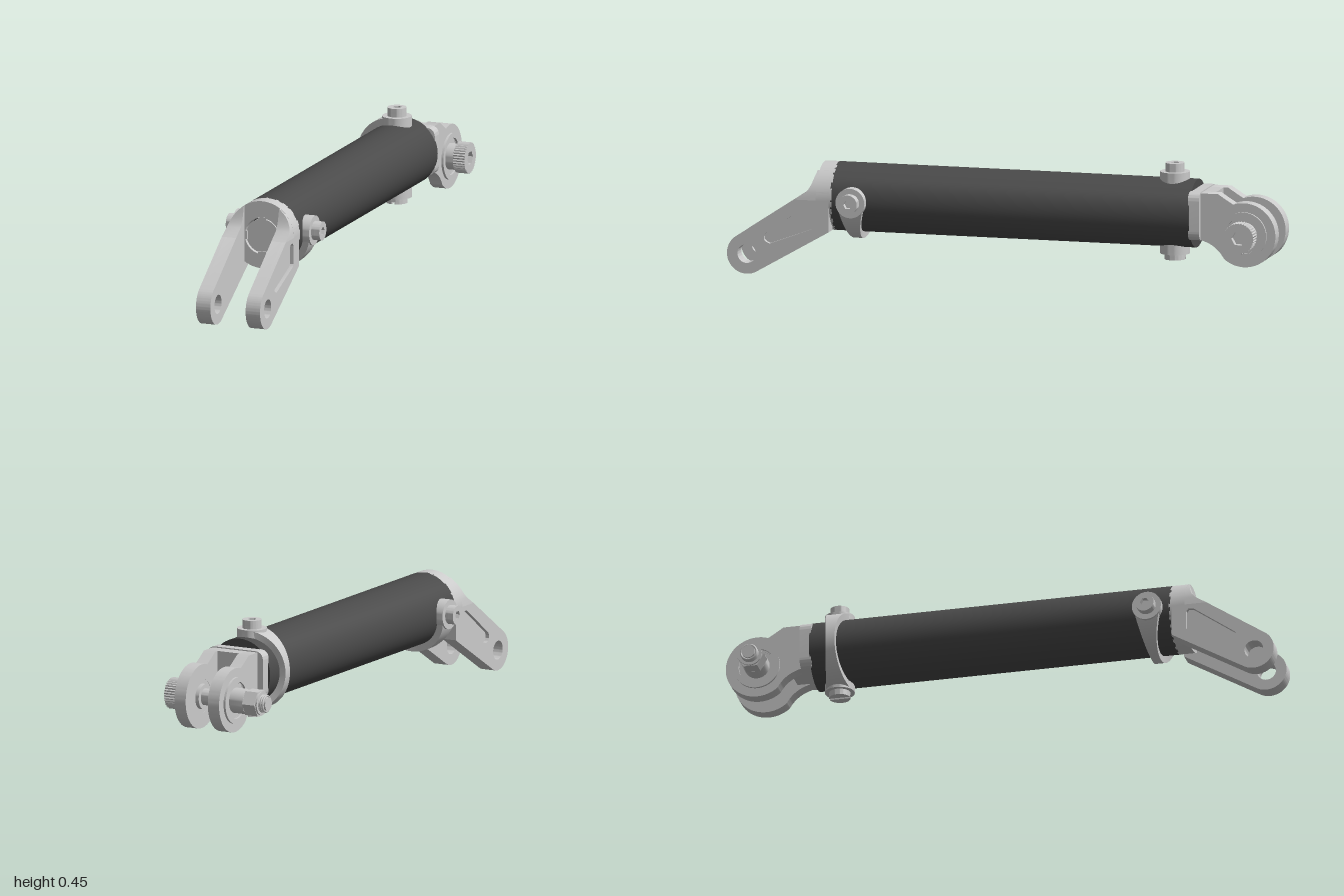
import * as THREE from 'three';
import { mergeGeometries, toCreasedNormals } from 'three/addons/utils/BufferGeometryUtils.js';

const CX = 0.0215, CY = 0.277, R = 0.122; // tube axis and radius

export function createModel() {
  const metal = new THREE.MeshStandardMaterial({ color: 0xcacaca });
  metal.name = 'light metal';
  const dark = new THREE.MeshStandardMaterial({ color: 0x4a4a4a });
  dark.name = 'dark tube';
  const model = new THREE.Group();

  const add = (parent, name, geo, mat = metal) => {
    const m = new THREE.Mesh(geo, mat);
    m.name = name;
    parent.add(m);
    return m;
  };
  const crease = (g) => toCreasedNormals(g, 0.6);

  // Extrude a shape along z between two depths
  const extrudeZ = (shape, z0, z1) =>
    crease(new THREE.ExtrudeGeometry(shape, { depth: z1 - z0, bevelEnabled: false, curveSegments: 32 }).translate(0, 0, z0));
  // Extrude a (z, y) side outline between two x positions
  const plateX = (shape, x0, x1) => extrudeZ(shape, 0, x1 - x0).rotateY(-Math.PI / 2).translate(x1, 0, 0);
  const cylX = (r, x0, x1, sides = 40) => {
    const g = new THREE.CylinderGeometry(r, r, x1 - x0, sides);
    return crease(g.rotateZ(Math.PI / 2).translate((x0 + x1) / 2, 0, 0));
  };
  const ngon = (r, n, inner = r) => new THREE.Shape(Array.from({ length: n }, (_, i) => {
    const a = (i / n) * Math.PI * 2, q = i % 2 ? inner : r;
    return new THREE.Vector2(Math.cos(a) * q, Math.sin(a) * q);
  }));
  const disc = (r) => new THREE.Shape().absarc(0, 0, r, 0, Math.PI * 2);

  // Solid through four-cornered cross-sections
  const loft = (rings) => {
    const p = [], tri = (...v) => v.forEach((q) => p.push(...q));
    for (let i = 0; i + 1 < rings.length; i++) for (let j = 0; j < 4; j++) {
      const k = (j + 1) % 4, A = rings[i], B = rings[i + 1];
      tri(A[j], A[k], B[k], A[j], B[k], B[j]);
    }
    const f = rings[0], l = rings[rings.length - 1];
    tri(f[2], f[1], f[0], f[3], f[2], f[0], l[0], l[1], l[2], l[0], l[2], l[3]);
    const g = new THREE.BufferGeometry();
    g.setAttribute('position', new THREE.Float32BufferAttribute(p, 3));
    return crease(g);
  };

  // Screw head pointing along +z with a hexagon socket
  const socketHead = (outline, h, socket) => {
    const ring = outline.clone();
    ring.holes.push(ngon(socket, 6));
    return mergeGeometries([extrudeZ(outline, 0, h * 0.5), extrudeZ(ring, h * 0.5, h)]);
  };
  // Screw head pointing along +z with a straight slot
  const slottedHead = (r, h) => {
    const half = (t) => new THREE.Shape().absarc(0, 0, r, t + 0.15, t + Math.PI - 0.15);
    return mergeGeometries([extrudeZ(disc(r), 0, h * 0.7), extrudeZ(half(0), h * 0.7, h), extrudeZ(half(Math.PI), h * 0.7, h)]);
  };

  // Tube
  const tube = add(model, 'tube', crease(new THREE.CylinderGeometry(R, R, 1.315, 64).rotateX(Math.PI / 2)), dark);
  tube.position.set(CX, CY, -0.0325);

  // Front fork: end cap, plug and threads
  const front = new THREE.Group();
  front.name = 'frontFork';
  front.position.x = CX;
  model.add(front);
  const capShape = new THREE.Shape().absarc(0, CY, R, 0, Math.PI * 2);
  const bore = new THREE.Path().absarc(0, 0.272, 0.066, 0, Math.PI * 2);
  capShape.holes.push(bore);
  add(front, 'endCap', extrudeZ(capShape, 0.62, 0.677));
  add(front, 'capPlug', extrudeZ(disc(0.061), 0.6, 0.673)).position.y = 0.272;
  for (let i = 0; i < 4; i++) {
    const t = add(front, 'threadTab', new THREE.BoxGeometry(0.03, 0.012, 0.03));
    const a = (i * Math.PI) / 2;
    t.position.set(Math.sin(a) * 0.062, 0.272 + Math.cos(a) * 0.062, 0.664);
    t.rotation.z = -a;
  }

  // Front fork: arms with eye and recessed pocket, blending up into the round cap
  const armShape = () => {
    const s = new THREE.Shape().moveTo(0.63, 0.165).lineTo(0.63, CY).lineTo(0.757, CY);
    s.absarc(0.93, 0.075, 0.0725, 1.012, -2.13, true).closePath();
    s.holes.push(new THREE.Path().absarc(0.93, 0.075, 0.034, 0, Math.PI * 2));
    return s;
  };
  const pocketed = armShape();
  pocketed.holes.push(new THREE.Path().moveTo(0.86, 0.152).lineTo(0.71, 0.258).lineTo(0.692, 0.26)
    .lineTo(0.684, 0.25).lineTo(0.684, 0.183).lineTo(0.692, 0.173).lineTo(0.845, 0.115).quadraticCurveTo(0.88, 0.125, 0.86, 0.152));
  const slopeZ = [[0, 0.757], [0.028, 0.714], [0.042, 0.703], [0.06, 0.695], [0.08, 0.689], [0.1, 0.684]];
  for (const s of [1, -1]) {
    const span = (a, b) => (s > 0 ? [a, b] : [-b, -a]);
    add(front, 'forkArm', plateX(armShape(), ...span(0.067, 0.108)));
    add(front, 'forkArmOuter', plateX(pocketed, ...span(0.108, R)));
    add(front, 'forkShoulder', loft(slopeZ.map(([dy, z]) => {
      const w = Math.sqrt(R * R - dy * dy), y = CY + dy;
      const ring = [[0.067 * s, y, 0.63], [0.067 * s, y, z], [w * s, y, z], [w * s, y, 0.63]];
      return s > 0 ? ring : ring.reverse();
    })));
  }

  // Half-ring strap with a round pad and screw at each end
  const strap = (name, z, turn, slotted) => {
    const g = new THREE.Group();
    g.name = name;
    g.position.set(CX, CY, z);
    g.rotation.z = turn;
    model.add(g);
    const rings = [];
    for (let i = 0; i <= 40; i++) {
      const a = -Math.PI * i / 40, w = 0.05 + 0.034 * Math.sin(a);
      const c = Math.cos(a), n = Math.sin(a), r0 = 0.118, r1 = 0.146;
      rings.push([[r0 * c, r0 * n, -w], [r1 * c, r1 * n, -w], [r1 * c, r1 * n, w], [r0 * c, r0 * n, w]]);
    }
    add(g, 'strapBand', loft(rings));
    for (const s of [1, -1]) {
      add(g, 'strapPad', s > 0 ? cylX(0.053, 0.1, 0.147) : cylX(0.053, -0.147, -0.1));
      const geo = slotted && s > 0 ? slottedHead(0.038, 0.03) : socketHead(disc(0.034), 0.04, 0.016);
      const head = add(g, 'strapScrew', geo);
      head.position.x = s * 0.138;
      head.rotation.y = s * Math.PI / 2;
    }
  };
  strap('frontStrap', 0.545, 0, false);
  strap('rearStrap', -0.607, -Math.PI / 2, true);

  // Rear fork: rounded base plate, bridge and two round-eyed arms
  const rear = new THREE.Group();
  rear.name = 'rearFork';
  rear.position.x = CX;
  model.add(rear);
  const base = new THREE.Shape(), bw = 0.113, b0 = 0.195, b1 = 0.369, q = 0.035;
  base.moveTo(-bw + q, b0).lineTo(bw - q, b0).quadraticCurveTo(bw, b0, bw, b0 + q)
    .lineTo(bw, b1 - q).quadraticCurveTo(bw, b1, bw - q, b1).lineTo(-bw + q, b1)
    .quadraticCurveTo(-bw, b1, -bw, b1 - q).lineTo(-bw, b0 + q).quadraticCurveTo(-bw, b0, -bw + q, b0);
  add(rear, 'rearBase', extrudeZ(base, -0.726, -0.685));
  add(rear, 'rearBridge', new THREE.BoxGeometry(0.1, 0.165, 0.06)).position.set(0, 0.2825, -0.742);
  const lug = new THREE.Shape().moveTo(-0.71, 0.2).lineTo(-0.71, 0.365).lineTo(-0.79, 0.365).quadraticCurveTo(-0.82, 0.345, -0.846, 0.33);
  lug.absarc(-0.885, 0.222, 0.115, 1.22, 5.41).quadraticCurveTo(-0.78, 0.19, -0.71, 0.2);
  lug.holes.push(new THREE.Path().absarc(-0.885, 0.222, 0.062, 0, Math.PI * 2));
  add(rear, 'rearArm', plateX(lug, 0.045, 0.091));
  add(rear, 'rearArm', plateX(lug, -0.091, -0.045));

  // Cross bolt with bearings, sleeve, nut and knurled head
  const bolt = new THREE.Group();
  bolt.name = 'crossBolt';
  bolt.position.set(0, 0.222, -0.885);
  model.add(bolt);
  const washer = disc(0.083);
  washer.holes.push(new THREE.Path().absarc(0, 0, 0.066, 0, Math.PI * 2));
  for (const s of [1, -1]) {
    const bearing = add(bolt, 'bearing', cylX(0.063, -0.022, 0.022));
    bearing.position.x = CX + s * 0.068;
    const rim = add(bolt, 'bearingRim', extrudeZ(washer, -0.005, 0.005));
    rim.rotation.y = Math.PI / 2;
    rim.position.x = CX + s * 0.094;
    add(bolt, 'innerCollar', cylX(0.045, -0.008, 0.008)).position.x = CX + s * 0.04;
  }
  add(bolt, 'shank', cylX(0.03, -0.198, 0.15));
  add(bolt, 'nutCollar', cylX(0.045, -0.125, -0.07));
  add(bolt, 'nut', cylX(0.05, -0.175, -0.125, 6));
  add(bolt, 'nutChamfer', cylX(0.042, -0.181, -0.175));
  add(bolt, 'boltTip', cylX(0.024, -0.205, -0.19));
  for (let i = 0; i < 3; i++) {
    add(bolt, 'thread', new THREE.TorusGeometry(0.028, 0.004, 6, 32).rotateY(Math.PI / 2)).position.x = -0.197 + i * 0.008;
  }
  add(bolt, 'headSpacer', cylX(0.047, 0.11, 0.148));
  const head = add(bolt, 'knurledHead', socketHead(ngon(0.056, 72, 0.053), 0.044, 0.026));
  head.rotation.y = Math.PI / 2;
  head.position.x = 0.145;

  return model;
}
